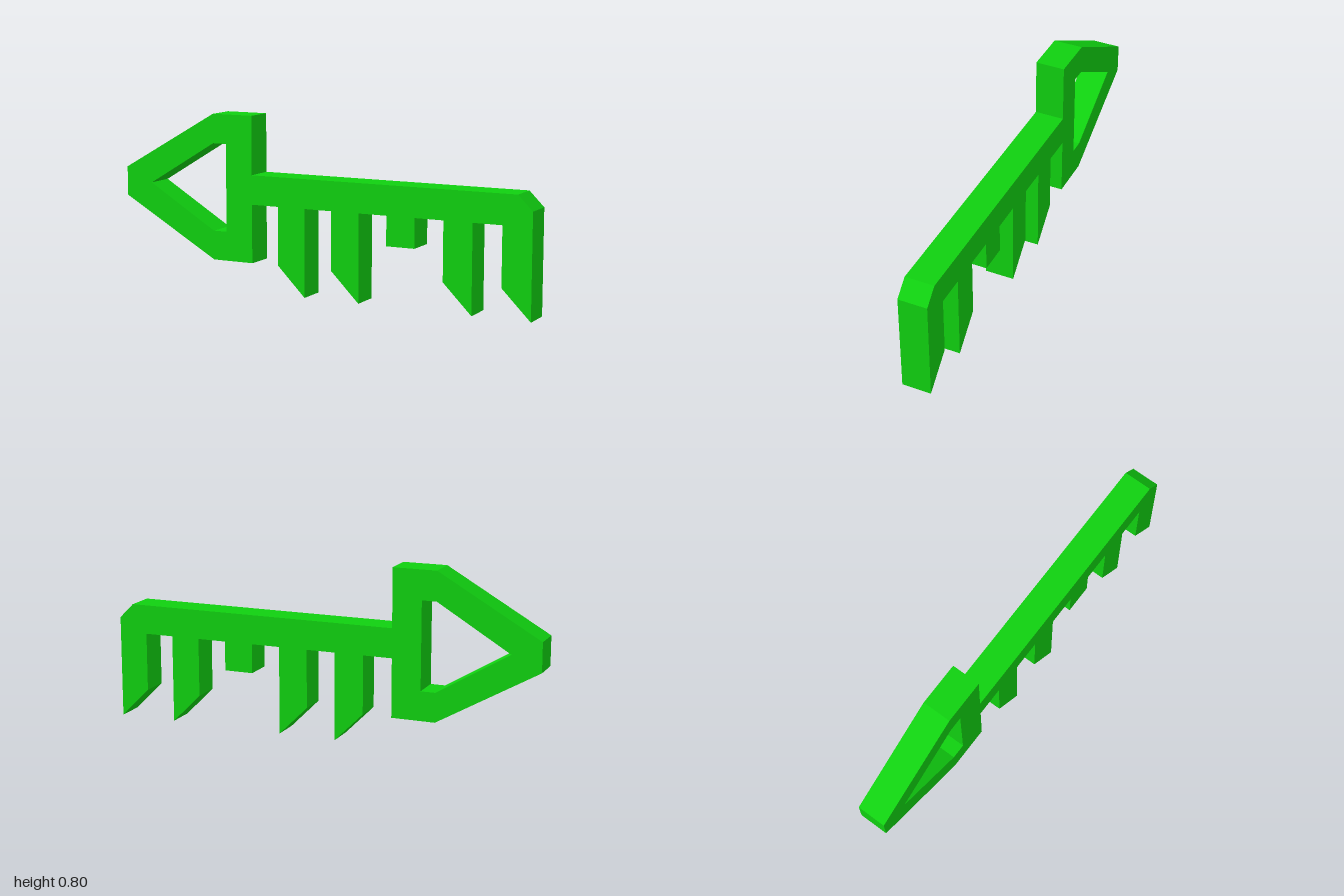
import * as THREE from 'three';

// Everything sits on a grid of 1/15 unit
const U = 1 / 15;
const THICKNESS = 2 * U;

const toPoints = (pts) => pts.map(([x, y]) => new THREE.Vector2(x * U, y * U));

// Flat plate cut from an outline, centred on z = 0
function plate(name, outline, material, hole) {
  const shape = new THREE.Shape(toPoints(outline));
  if (hole) shape.holes.push(new THREE.Path(toPoints(hole)));
  const geometry = new THREE.ExtrudeGeometry(shape, { depth: THICKNESS, bevelEnabled: false });
  geometry.translate(0, 0, -THICKNESS / 2);
  const mesh = new THREE.Mesh(geometry, material);
  mesh.name = name;
  return mesh;
}

export function createModel() {
  const group = new THREE.Group();
  group.name = 'key';
  const green = new THREE.MeshStandardMaterial({ color: 0x10d010, flatShading: true });

  // Bow: arrow-shaped handle with a matching opening
  group.add(plate('bow',
    [[-15, 8], [-15, 6], [-8, 2], [-5, 2], [-5, 12], [-8, 12]],
    green,
    [[-13, 7], [-8, 10], [-7, 10], [-7, 4], [-8, 4]]));

  // Blade: shaft with a clipped tip, and teeth along the lower edge
  // Each tooth: left x, bottom y at its left side, bottom y at its right side
  const teeth = [[-3, 2, 0], [1, 2, 0], [5, 4, 4], [9, 2, 0], [13, 2, 0]];
  const blade = [[-5, 8], [-5, 6]];
  for (const [x, left, right] of teeth) {
    blade.push([x, 6], [x, left], [x + 2, right]);
    if (x + 2 < 15) blade.push([x + 2, 6]); // the last tooth runs up into the tip
  }
  blade.push([15, 7], [14, 8]);
  group.add(plate('blade', blade, green));

  return group;
}
